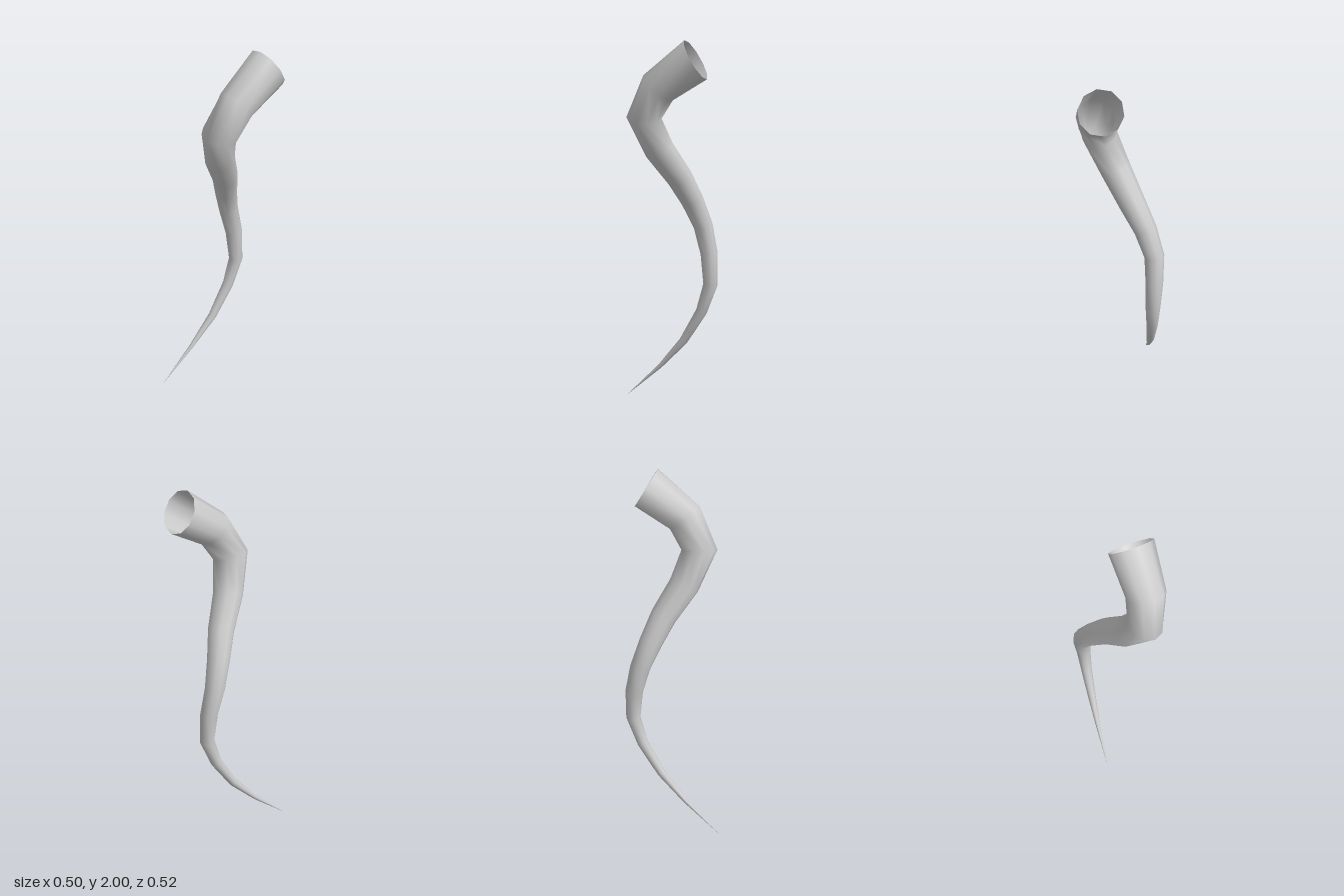
import * as THREE from 'three';

const SIDES = 10;

// Centre line from the open root down to the tip: x, y, z, radius
const RINGS = [
  [0.138, 1.905, -0.157, 0.115],
  [0.107, 1.76, 0.04, 0.1],
  [0.06, 1.6, 0.12, 0.093],
  [-0.003, 1.425, 0.045, 0.08],
  [-0.06, 1.27, -0.058, 0.07],
  [-0.11, 1.14, -0.122, 0.061],
  [-0.142, 1.0, -0.178, 0.053],
  [-0.133, 0.847, -0.212, 0.047],
  [-0.125, 0.675, -0.22, 0.039],
  [-0.14, 0.52, -0.17, 0.031],
  [-0.168, 0.343, -0.068, 0.023],
  [-0.207, 0.183, 0.068, 0.012],
  [-0.254, 0.0, 0.257, 0.0005],
];

// Sweeps a tapering ring along the centre line, each ring square to the path
function hornGeometry() {
  const centres = RINGS.map(([x, y, z]) => new THREE.Vector3(x, y, z));
  const last = centres.length - 1;
  const positions = [];
  const indices = [];

  centres.forEach((c, k) => {
    const t = new THREE.Vector3();
    if (k === 0) t.set(-0.03, -0.115, 0.197);
    else {
      // bisect the two neighbouring segments
      t.subVectors(c, centres[k - 1]).normalize();
      if (k < last) t.add(centres[k + 1].clone().sub(c).normalize());
    }
    t.normalize();
    const u = new THREE.Vector3(1, 0, 0).addScaledVector(t, -t.x).normalize();
    const v = new THREE.Vector3().crossVectors(t, u);
    for (let i = 0; i < SIDES; i++) {
      const a = 0.3 + (i / SIDES) * Math.PI * 2;
      const p = c.clone()
        .addScaledVector(u, Math.cos(a) * RINGS[k][3])
        .addScaledVector(v, Math.sin(a) * RINGS[k][3]);
      positions.push(p.x, p.y, p.z);
    }
  });

  for (let k = 0; k < last; k++) {
    for (let i = 0; i < SIDES; i++) {
      const j = (i + 1) % SIDES;
      const a = k * SIDES + i, b = k * SIDES + j;
      indices.push(a, b, a + SIDES, b, b + SIDES, a + SIDES);
    }
  }

  const geometry = new THREE.BufferGeometry();
  geometry.setAttribute('position', new THREE.Float32BufferAttribute(positions, 3));
  geometry.setIndex(indices);
  geometry.computeVertexNormals();
  return geometry;
}

export function createModel() {
  const group = new THREE.Group();
  group.name = 'twistedHorn';
  // The root is open, so the inside shows
  const material = new THREE.MeshStandardMaterial({ color: 0xcccccc, side: THREE.DoubleSide });
  const horn = new THREE.Mesh(hornGeometry(), material);
  horn.name = 'horn';
  group.add(horn);
  return group;
}
